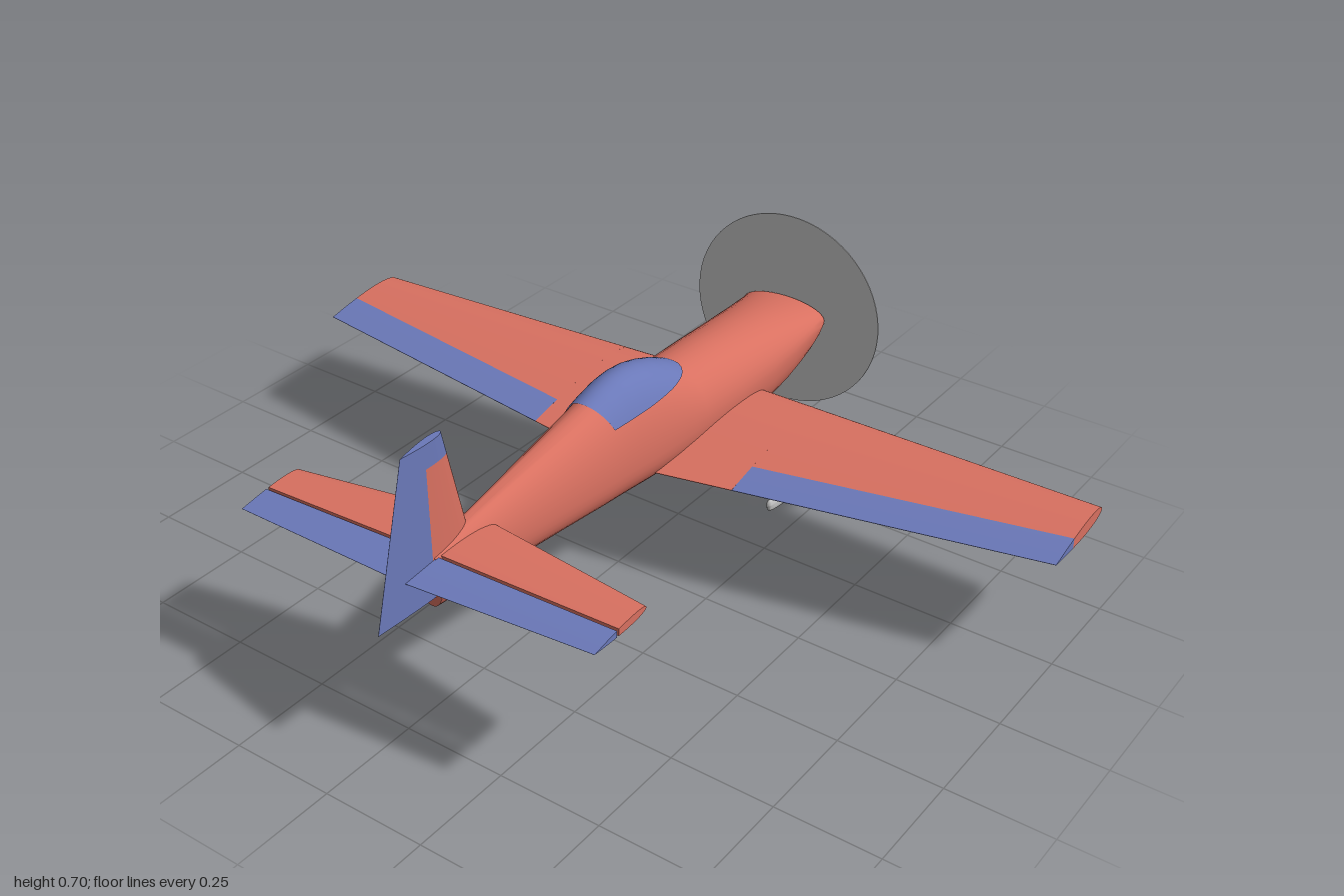
import * as THREE from 'three';
import { toCreasedNormals } from 'three/addons/utils/BufferGeometryUtils.js';
import { ParametricGeometry } from 'three/addons/geometries/ParametricGeometry.js';

const mat = (color) => new THREE.MeshStandardMaterial({ color, side: THREE.DoubleSide });
const red = mat(0xd87060), blue = mat(0x6a78b8), grey = mat(0xcccccc);

const { lerp } = THREE.MathUtils;

function add(parent, name, geometry, material) {
  const mesh = new THREE.Mesh(geometry, material);
  mesh.name = name;
  parent.add(mesh);
  return mesh;
}

// Closed skin through rings of points [x, y, z], capped at both ends, facing outward
function loft(rings, crease = 0.7) {
  const tris = [], n = rings[0].length;
  const centre = (r) => [0, 1, 2].map((k) => r.reduce((s, p) => s + p[k], 0) / n);
  const first = rings[0], last = rings[rings.length - 1];
  const c0 = centre(first), c1 = centre(last);
  for (let j = 0; j < n; j++) {
    const k = (j + 1) % n;
    for (let i = 0; i + 1 < rings.length; i++) {
      const a = rings[i], b = rings[i + 1];
      tris.push([a[j], a[k], b[k]], [a[j], b[k], b[j]]);
    }
    tris.push([c0, first[k], first[j]], [c1, last[j], last[k]]);
  }
  // turn the skin if its enclosed volume comes out negative
  const [o, u, v, w] = [0, 0, 0, 0].map(() => new THREE.Vector3());
  o.fromArray(c0);
  let volume = 0;
  for (const [a, b, c] of tris) {
    u.fromArray(a).sub(o);
    v.fromArray(b).sub(o);
    w.fromArray(c).sub(o);
    volume += u.dot(v.cross(w));
  }
  if (volume < 0) tris.forEach((t) => t.reverse());
  const g = new THREE.BufferGeometry();
  g.setAttribute('position', new THREE.Float32BufferAttribute(tris.flat(2), 3));
  return toCreasedNormals(g, crease);
}

// Symmetric aerofoil half thickness at chord fraction u, peak 0.5
const foil = (u) => Math.max(0.01, 5 * (0.2969 * Math.sqrt(u) - 0.126 * u - 0.3516 * u * u + 0.2843 * u ** 3 - 0.1036 * u ** 4));

// Part of a surface: between two spans s0..s1 and two chordwise lines from(s)..to(s)
function panel(surface, s0, s1, from, to, place) {
  const rings = [s0, s1].map((s) => {
    const { le, te, thick, mid } = surface(s);
    const a = from ? from(s) : le, b = to ? to(s) : te, top = [], bottom = [];
    for (let i = 0; i <= 14; i++) {
      const f = i / 14, z = lerp(a, b, from ? f : f * f);
      const h = foil(THREE.MathUtils.clamp((z - le) / (te - le), 0, 1)) * thick;
      top.push(place(s, mid + h, z));
      bottom.unshift(place(s, mid - h, z));
    }
    return [...top, ...bottom];
  });
  return loft(rings);
}

// Hull stations: z, bottom, top, widest height, half width
const hull = [
  [-0.75, 0.30, 0.385, 0.345, 0.116], [-0.735, 0.265, 0.388, 0.34, 0.117], [-0.7, 0.24, 0.394, 0.335, 0.119],
  [-0.65, 0.218, 0.402, 0.33, 0.12], [-0.6, 0.204, 0.41, 0.325, 0.121], [-0.5, 0.19, 0.424, 0.32, 0.121],
  [-0.35, 0.205, 0.442, 0.32, 0.118], [-0.2, 0.22, 0.458, 0.325, 0.111], [-0.15, 0.225, 0.483, 0.327, 0.109],
  [-0.1, 0.23, 0.504, 0.329, 0.106], [-0.05, 0.235, 0.52, 0.33, 0.102], [0, 0.24, 0.529, 0.332, 0.098],
  [0.05, 0.245, 0.53, 0.335, 0.093], [0.1, 0.25, 0.523, 0.338, 0.088], [0.155, 0.255, 0.511, 0.34, 0.083],
  [0.5, 0.29, 0.467, 0.36, 0.049], [0.7, 0.31, 0.44, 0.375, 0.03],
];

function station(z) {
  let i = 0;
  while (i < hull.length - 2 && hull[i + 1][0] < z) i++;
  const f = (z - hull[i][0]) / (hull[i + 1][0] - hull[i][0]);
  return hull[i].map((v, k) => lerp(v, hull[i + 1][k], f));
}

function hullPoint(z, angle) {
  const [, bottom, top, mid, half] = station(z);
  const c = Math.cos(angle), s = Math.sin(angle), n = s > 0 ? 1 : 0.88;
  return [
    half * Math.sign(c) * Math.abs(c) ** n,
    mid + (s > 0 ? top - mid : bottom - mid) * Math.abs(s) ** n, z,
  ];
}

function buildFuselage(plane) {
  const rings = hull.map(([z]) => Array.from({ length: 40 }, (_, i) => hullPoint(z, (i / 40) * Math.PI * 2)));
  add(plane, 'fuselage', loft(rings), red);

  // canopy: thin shell over the hull above the sill
  const canopy = new ParametricGeometry((u, v, target) => {
    const z = lerp(-0.2, 0.128 + 0.026 * Math.sin(Math.PI * u), v);
    const [, , top, mid] = station(z);
    const start = Math.asin(Math.min(1, (0.455 - mid) / (top - mid)));
    const [x, y] = hullPoint(z, lerp(start, Math.PI - start, u));
    target.set(x * 1.025, y + 0.002, z);
  }, 24, 28);
  canopy.computeVertexNormals();
  add(plane, 'canopy', canopy, blue);
}

function buildWings(plane) {
  const wing = (s) => ({ le: lerp(-0.46, -0.41, s), te: lerp(0.008, -0.155, s), thick: lerp(0.07, 0.036, s), mid: lerp(0.28, 0.294, s) });
  const tail = (s) => ({ le: lerp(0.518, 0.587, s / 0.444), te: lerp(0.787, 0.767, s / 0.444), thick: lerp(0.032, 0.02, s / 0.444), mid: 0.42 });
  const hinge = (s) => lerp(-0.128, -0.25, (s - 0.27) / 0.725);
  for (const [side, sign] of [['left', 1], ['right', -1]]) {
    const flat = (s, v, z) => [sign * s, v, z];
    add(plane, side + 'WingRoot', panel(wing, 0, 0.27, null, null, flat), red);
    add(plane, side + 'Wing', panel(wing, 0.27, 0.995, null, hinge, flat), red);
    add(plane, side + 'Aileron', panel(wing, 0.27, 0.995, hinge, null, flat), blue);
    add(plane, side + 'Tailplane', panel(tail, 0, 0.444, null, () => 0.684, flat), red);
    add(plane, side + 'Elevator', panel(tail, 0, 0.444, () => 0.691, null, flat), blue);
  }
}

function buildFin(plane) {
  const fin = (s) => {
    const f = (s - 0.34) / 0.36;
    return { le: lerp(0.552, 0.645, f), te: lerp(0.87, 0.77, f), thick: lerp(0.032, 0.018, f), mid: 0 };
  };
  const upright = (s, v, z) => [v, s, z];
  const post = () => 0.705;
  add(plane, 'fin', panel(fin, 0.34, 0.645, null, post, upright), red);
  add(plane, 'rudder', panel(fin, 0.34, 0.645, post, null, upright), blue);
  add(plane, 'rudderHorn', panel(fin, 0.645, 0.7, null, null, upright), blue);
}

function buildPropeller(plane) {
  const disc = add(plane, 'propellerDisc', new THREE.CylinderGeometry(0.26, 0.26, 0.003, 64), grey);
  disc.rotation.x = Math.PI / 2;
  disc.position.set(0, 0.34, -0.764);
  // spinner profile, radius and distance forward
  const profile = [[0.024, -0.02], [0.028, 0], [0.036, 0.02], [0.038, 0.035], [0.034, 0.06], [0.025, 0.083], [0.013, 0.1], [0, 0.107]];
  const curve = new THREE.SplineCurve(profile.map(([r, h]) => new THREE.Vector2(r, h)));
  const points = curve.getPoints(20).map((p) => new THREE.Vector2(Math.max(0, p.x), p.y));
  const spinner = add(plane, 'spinner', new THREE.LatheGeometry(points, 28), grey);
  spinner.rotation.x = -Math.PI / 2;
  spinner.position.set(0, 0.34, -0.764);
}

function buildGear(plane) {
  // wheel fairing: z, half height, half width
  const fairing = [[-0.565, 0.008, 0.005], [-0.56, 0.018, 0.011], [-0.545, 0.027, 0.017], [-0.515, 0.034, 0.021],
    [-0.48, 0.036, 0.023], [-0.43, 0.033, 0.021], [-0.38, 0.026, 0.015], [-0.34, 0.021, 0.01], [-0.325, 0.015, 0.007], [-0.32, 0.006, 0.003]];
  const path = new THREE.CatmullRomCurve3([[0.05, 0.235, -0.395], [0.1, 0.207, -0.408], [0.15, 0.17, -0.424], [0.187, 0.12, -0.441], [0.206, 0.07, -0.455]]
    .map((p) => new THREE.Vector3(...p)));
  for (const [side, sign] of [['left', 1], ['right', -1]]) {
    // spring leg: thin flat section along a bowed path
    const leg = Array.from({ length: 15 }, (_, i) => {
      const p = path.getPoint(i / 14), t = path.getTangent(i / 14), half = lerp(0.029, 0.02, i / 14);
      const k = 0.005 / Math.hypot(t.x, t.y);
      return [[1, 1], [1, -1], [-1, -1], [-1, 1]].map(([a, b]) => [sign * (p.x - t.y * k * a), p.y + t.x * k * a, p.z + half * b]);
    });
    add(plane, side + 'GearLeg', loft(leg), grey);
    const rings = fairing.map(([z, h, w]) => Array.from({ length: 20 }, (_, i) => {
      const a = (i / 20) * Math.PI * 2;
      return [sign * 0.212 + w * Math.cos(a), 0.06 + h * Math.sin(a), z];
    }));
    add(plane, side + 'WheelFairing', loft(rings, 1), grey);
    const wheel = add(plane, side + 'Wheel', new THREE.CylinderGeometry(0.043, 0.043, 0.018, 28), grey);
    wheel.rotation.z = Math.PI / 2;
    wheel.position.set(sign * 0.212, 0.043, -0.46);
  }
}

export function createModel() {
  const model = new THREE.Group();
  model.name = 'aerobaticAeroplane';
  // the whole aircraft is turned slightly about the vertical
  const plane = new THREE.Group();
  plane.name = 'airframe';
  plane.rotation.y = 0.0465;
  plane.position.x = 0.01;
  model.add(plane);
  buildFuselage(plane);
  buildWings(plane);
  buildFin(plane);
  buildPropeller(plane);
  buildGear(plane);
  return model;
}
